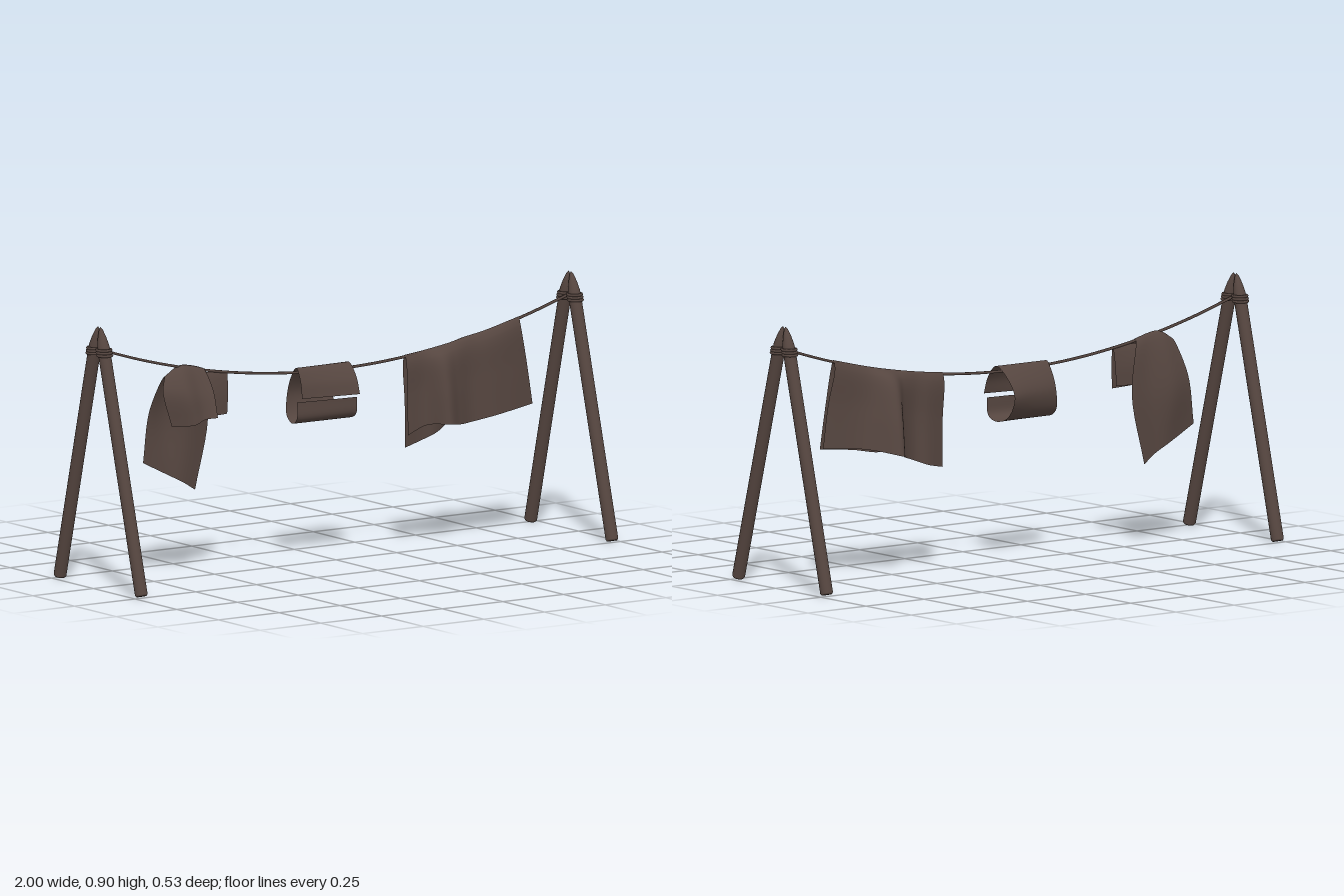
import * as THREE from 'three';

const brown = new THREE.MeshStandardMaterial({ color: 0x564640, side: THREE.DoubleSide });
brown.name = 'weatheredBrown';
const ROPE_Z = -0.01;
const ropeY = (x) => 0.657 + 0.175 * x * x;
const vec = (p) => new THREE.Vector3(...p);

function add(parent, geometry, name) {
  const mesh = new THREE.Mesh(geometry, brown);
  mesh.name = name;
  parent.add(mesh);
  return mesh;
}

// Smooth sheet through columns of points (each from front hem, over the rope, to back hem)
function sheet(columns, nu = 28, nv = 24) {
  const curves = columns.map((c) => new THREE.CatmullRomCurve3(c.map(vec)));
  const positions = [];
  const index = [];
  for (let j = 0; j <= nv; j++) {
    const row = new THREE.CatmullRomCurve3(curves.map((c) => c.getPoint(j / nv)));
    for (let i = 0; i <= nu; i++) positions.push(...row.getPoint(i / nu).toArray());
  }
  for (let j = 0; j < nv; j++) {
    for (let i = 0; i < nu; i++) {
      const a = j * (nu + 1) + i;
      const b = a + nu + 1;
      index.push(a, a + 1, b, a + 1, b + 1, b);
    }
  }
  const geometry = new THREE.BufferGeometry();
  geometry.setAttribute('position', new THREE.Float32BufferAttribute(positions, 3));
  geometry.setIndex(index);
  geometry.computeVertexNormals();
  return geometry;
}

// Leaning pole with a whittled tip and its rope lashing
function pole(parent, x, side) {
  const foot = new THREE.Vector3(x, 0.006, side * 0.245);
  const tip = new THREE.Vector3(x, 0.9, side > 0 ? -0.002 : -0.016);
  const length = foot.distanceTo(tip);
  const leg = new THREE.Group();
  leg.name = side > 0 ? 'frontPole' : 'backPole';
  leg.position.copy(foot);
  leg.quaternion.setFromUnitVectors(new THREE.Vector3(0, 1, 0), tip.clone().sub(foot).normalize());
  parent.add(leg);
  const profile = [[0, 0], [0.018, 0], [0.022, 0.006], [0.022, length - 0.09],
    [0.0205, length - 0.065], [0.0145, length - 0.035], [0.006, length - 0.008], [0, length]];
  add(leg, new THREE.LatheGeometry(profile.map((p) => new THREE.Vector2(...p)), 16), 'pole');

  // Three level turns of rope around the pole
  for (let i = 0; i < 3; i++) {
    const y = 0.806 + i * 0.009;
    const ring = add(parent, new THREE.TorusGeometry(0.0245, 0.005, 6, 20), 'lashing');
    ring.rotation.x = Math.PI / 2;
    ring.position.set(x, y, THREE.MathUtils.lerp(foot.z, tip.z, (y - foot.y) / (tip.y - foot.y)));
  }
}

export function createModel() {
  const model = new THREE.Group();
  model.name = 'clothesline';

  // A-frame supports at both ends
  for (const x of [-0.97, 0.97]) {
    const frame = new THREE.Group();
    frame.name = x < 0 ? 'rightFrame' : 'leftFrame';
    model.add(frame);
    for (const side of [1, -1]) pole(frame, x, side);
  }

  // Sagging rope
  const ropePoints = [];
  for (let i = 0; i <= 12; i++) {
    const x = -0.96 + i * 0.16;
    ropePoints.push(new THREE.Vector3(x, ropeY(x), ROPE_Z));
  }
  add(model, new THREE.TubeGeometry(new THREE.CatmullRomCurve3(ropePoints), 48, 0.005, 6), 'rope');

  // Garment with a short front flap and a long slanted back panel
  const garment = new THREE.Group();
  garment.name = 'garment';
  model.add(garment);
  add(garment, sheet([
    [[-0.69, 0.53, 0.02], [-0.72, 0.65, 0.01], [-0.70, 0.70, -0.012], [-0.735, 0.58, -0.05], [-0.768, 0.405, -0.04]],
    [[-0.62, 0.535, 0.06], [-0.645, 0.65, 0.045], [-0.64, 0.733, -0.012], [-0.66, 0.56, -0.065], [-0.655, 0.35, -0.05]],
    [[-0.58, 0.55, 0.06], [-0.585, 0.64, 0.04], [-0.585, 0.728, -0.012], [-0.575, 0.55, -0.045], [-0.595, 0.32, -0.05]],
    [[-0.54, 0.555, 0.078], [-0.535, 0.65, 0.04], [-0.54, 0.715, -0.012], [-0.49, 0.53, -0.055], [-0.54, 0.288, -0.06]],
  ]), 'garmentBody');
  add(garment, sheet([
    [[-0.55, 0.55, 0.02], [-0.545, 0.64, 0.008], [-0.54, 0.70, -0.01], [-0.545, 0.64, -0.028], [-0.54, 0.56, -0.03]],
    [[-0.45, 0.55, 0.002], [-0.445, 0.63, 0], [-0.443, 0.695, -0.01], [-0.446, 0.63, -0.02], [-0.45, 0.56, -0.02]],
  ], 8, 16), 'sleeve');

  // Small towel whose back end curls forward under the front flap
  const towel = (x, lowX, back, front) => [
    [x, 0.575, front], [x, 0.63, front * 0.65], [x, 0.677, ROPE_Z], [x, 0.64, back * 0.65],
    [x, 0.58, back], [lowX, 0.51, back * 0.7], [lowX, 0.486, -0.01],
    [lowX, 0.505, front * 0.6], [lowX, 0.563, front * 0.7],
  ];
  add(model, sheet([
    towel(-0.157, -0.172, -0.065, 0.025),
    towel(-0.05, -0.06, -0.085, 0.042),
    towel(0.06, 0.06, -0.115, 0.056),
  ], 12, 48), 'towel');

  // Wide blanket: [top x, hem x, front hem y, front z, back hem y, back z]
  const folds = [
    [0.29, 0.30, 0.40, -0.004, 0.355, -0.022],
    [0.36, 0.37, 0.43, 0.006, 0.37, -0.035],
    [0.42, 0.425, 0.435, 0.066, 0.39, -0.028],
    [0.48, 0.49, 0.425, 0.035, 0.41, -0.06],
    [0.54, 0.555, 0.425, 0.012, 0.428, -0.132],
    [0.62, 0.645, 0.44, 0.024, 0.45, -0.05],
    [0.76, 0.81, 0.46, 0, 0.465, -0.018],
  ];
  add(model, sheet(folds.map(([tx, hx, fy, fz, by, bz]) => {
    const top = ropeY(tx) + 0.006;
    const mid = (tx + hx) / 2;
    return [
      [hx, fy, fz], [mid, (top + fy) / 2, fz * 0.8], [tx, top - 0.03, fz * 0.4 + 0.002],
      [tx, top, ROPE_Z],
      [tx, top - 0.03, bz * 0.4 - 0.012], [mid, (top + by) / 2, bz * 0.8], [hx, by, bz],
    ];
  }), 48, 36), 'blanket');

  return model;
}
